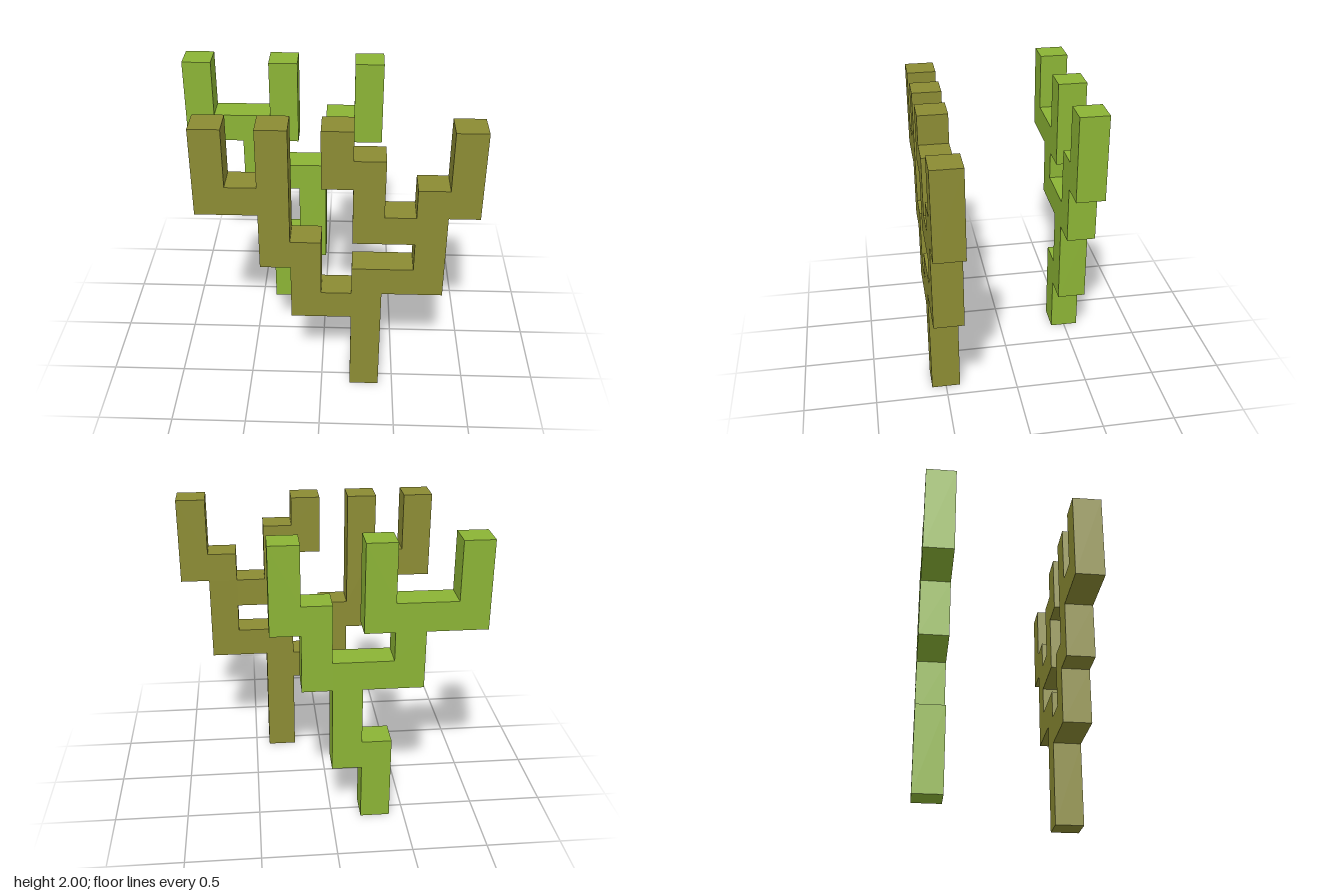
import * as THREE from 'three';

const CELL = 0.2;

// Outlines of the two branching plants, counterclockwise, in grid cells
// (column from x = -1, row from the ground).
const FRONT_OUTLINE = [
  [6, 0], [7, 0], [7, 4], [9, 4], [9, 7], [10, 7], [10, 10], [9, 10], [9, 8], [8, 8], // trunk, left bough
  [8, 7], [7, 7], [7, 9], [6, 9], [6, 10], [5, 10], [5, 8], [6, 8], [6, 6], [8, 6],   // inner bough
  [8, 5], [6, 5], [6, 4], [5, 4], [5, 6], [4, 6], [4, 10], [3, 10], [3, 8], [2, 8],   // right bough
  [2, 10], [1, 10], [1, 7], [3, 7], [3, 5], [4, 5], [4, 3], [6, 3],
];
const BACK_OUTLINE = [
  [3, 0], [4, 0], [4, 2], [5, 2], [5, 5], [6, 5], [6, 7], [7, 7], [7, 10], [6, 10],   // trunk, left bough
  [6, 8], [5, 8], [5, 6], [3, 6], [3, 7], [4, 7], [4, 10], [3, 10], [3, 8], [1, 8],   // middle prong
  [1, 10], [0, 10], [0, 7], [2, 7], [2, 5], [4, 5], [4, 3], [3, 3],                   // right bough
];

// One square-sectioned plant, one cell thick, centred on the given depth
function plant(name, outline, z, material) {
  const points = outline.map(([c, r]) => new THREE.Vector2(c * CELL - 1, r * CELL));
  const geometry = new THREE.ExtrudeGeometry(new THREE.Shape(points), {
    depth: CELL, bevelEnabled: false, steps: 1,
  });
  geometry.translate(0, 0, z - CELL / 2);
  const mesh = new THREE.Mesh(geometry, material);
  mesh.name = name;
  return mesh;
}

export function createModel() {
  const olive = new THREE.MeshStandardMaterial({ color: 0x8b8b33 });
  olive.name = 'olive';
  const leafGreen = new THREE.MeshStandardMaterial({ color: 0x8bb335 });
  leafGreen.name = 'leaf green';

  const group = new THREE.Group();
  group.name = 'branchingPlants';
  group.add(
    plant('frontPlant', FRONT_OUTLINE, 0.5, olive),
    plant('backPlant', BACK_OUTLINE, -0.5, leafGreen),
  );
  return group;
}
